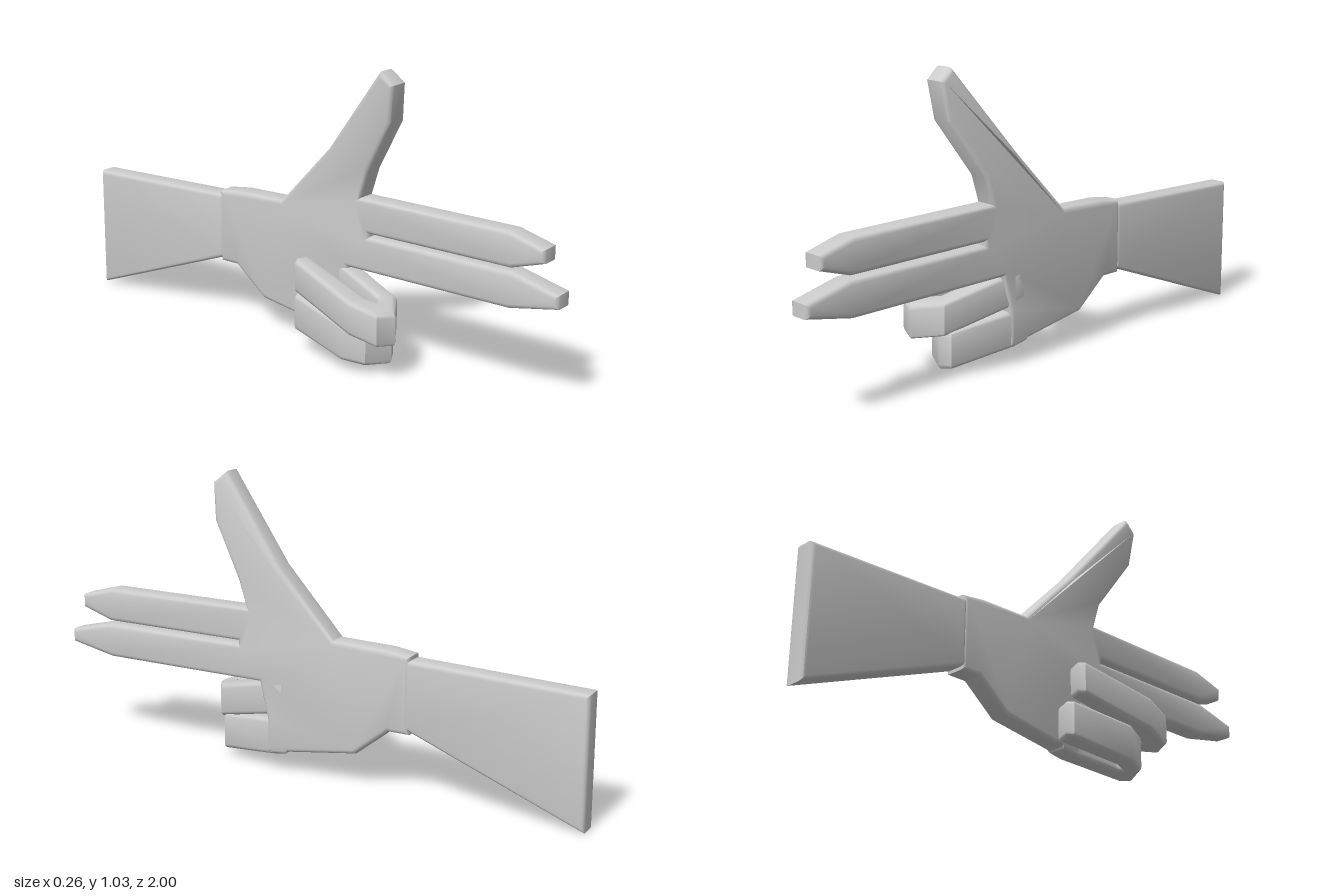
import * as THREE from 'three';
import { toCreasedNormals } from 'three/addons/utils/BufferGeometryUtils.js';

const material = new THREE.MeshStandardMaterial({ color: 0xcccccc });

// Extrude an outline into a slab of the given thickness with rounded rims inside the outline
function slab(points, thickness, bevel) {
  const shape = new THREE.Shape(points.map(([a, b]) => new THREE.Vector2(a, b)));
  const geometry = new THREE.ExtrudeGeometry(shape, {
    depth: thickness - 2 * bevel, bevelEnabled: true, bevelThickness: bevel,
    bevelSize: bevel, bevelOffset: -bevel, bevelSegments: 3,
  });
  return geometry.translate(0, 0, bevel);
}

// Move every vertex by a rule
function warp(geometry, rule) {
  const pos = geometry.attributes.position;
  const v = new THREE.Vector3();
  for (let i = 0; i < pos.count; i++) {
    rule(v.fromBufferAttribute(pos, i));
    pos.setXYZ(i, v.x, v.y, v.z);
  }
  return geometry;
}

function part(name, geometry) {
  const mesh = new THREE.Mesh(toCreasedNormals(geometry, 0.6), material);
  mesh.name = name;
  return mesh;
}

// Upright plate from a (z, y) outline, standing between x = 0.045 and 0.127
function sidePlate(points) {
  return slab(points.map(([z, y]) => [-z, y]), 0.082, 0.016)
    .rotateY(Math.PI / 2).translate(0.045, 0, 0);
}

// Curled finger from an (x, z) outline, sloping in y along z
function curledFinger(points, height, y0, slope) {
  const geometry = slab(points.map(([x, z]) => [x, -z]), height, 0.016).rotateX(-Math.PI / 2);
  return warp(geometry, (v) => { v.y += y0 - height / 2 + slope * v.z; });
}

export function createModel() {
  const model = new THREE.Group();
  model.name = 'hand';

  // Flared forearm
  model.add(part('forearm', sidePlate([
    [-0.37, 0.475], [-1, 0.455], [-1, 0], [-0.37, 0.237],
  ])));

  // Palm with thumb and the two straight fingers
  const palm = sidePlate([
    [-0.385, 0.488], [-0.30, 0.5], [-0.10, 0.505],
    [0.115, 0.73], [0.355, 1.03], [0.405, 0.99], [0.39, 0.86], [0.27, 0.67], [0.24, 0.575],
    [0.815, 0.575], [0.945, 0.54], [0.945, 0.493], [0.825, 0.455], [0.275, 0.455],
    [0.275, 0.443], [0.83, 0.443], [1, 0.402], [1, 0.355], [0.825, 0.32],
    [0.19, 0.32], [0.16, 0.19], [0.16, 0.068], [-0.185, 0.12], [-0.31, 0.22], [-0.385, 0.22],
  ]);
  // The thumb leans towards the palm side
  warp(palm, (v) => {
    if (v.y > 0.68) v.x -= v.y < 0.87 ? (v.y - 0.68) * 0.237 : 0.045 + (v.y - 0.87) * 0.11;
  });
  model.add(part('palmThumbAndStraightFingers', palm));

  // Ring finger folded over the palm
  model.add(part('ringFinger', curledFinger([
    [0.127, 0.10], [0.127, 0.14], [0.055, 0.395], [-0.045, 0.46], [-0.11, 0.43], [-0.132, 0.33],
    [-0.075, 0.06], [-0.05, 0.045], [-0.005, 0.06], [-0.048, 0.34], [-0.035, 0.375],
    [-0.005, 0.355], [0.047, 0.15], [0.047, 0.10],
  ], 0.118, 0.307, -0.27)));

  // Little finger folded over the palm
  model.add(part('littleFinger', curledFinger([
    [0.126, 0.08], [0.126, 0.14], [0.065, 0.375], [0.025, 0.397], [-0.06, 0.35], [-0.092, 0.27],
    [-0.045, 0.035], [-0.02, 0.02], [0.033, 0.04], [-0.016, 0.27], [-0.004, 0.31],
    [0.01, 0.30], [0.047, 0.15], [0.047, 0.08],
  ], 0.13, 0.15, -0.157)));

  return model;
}
